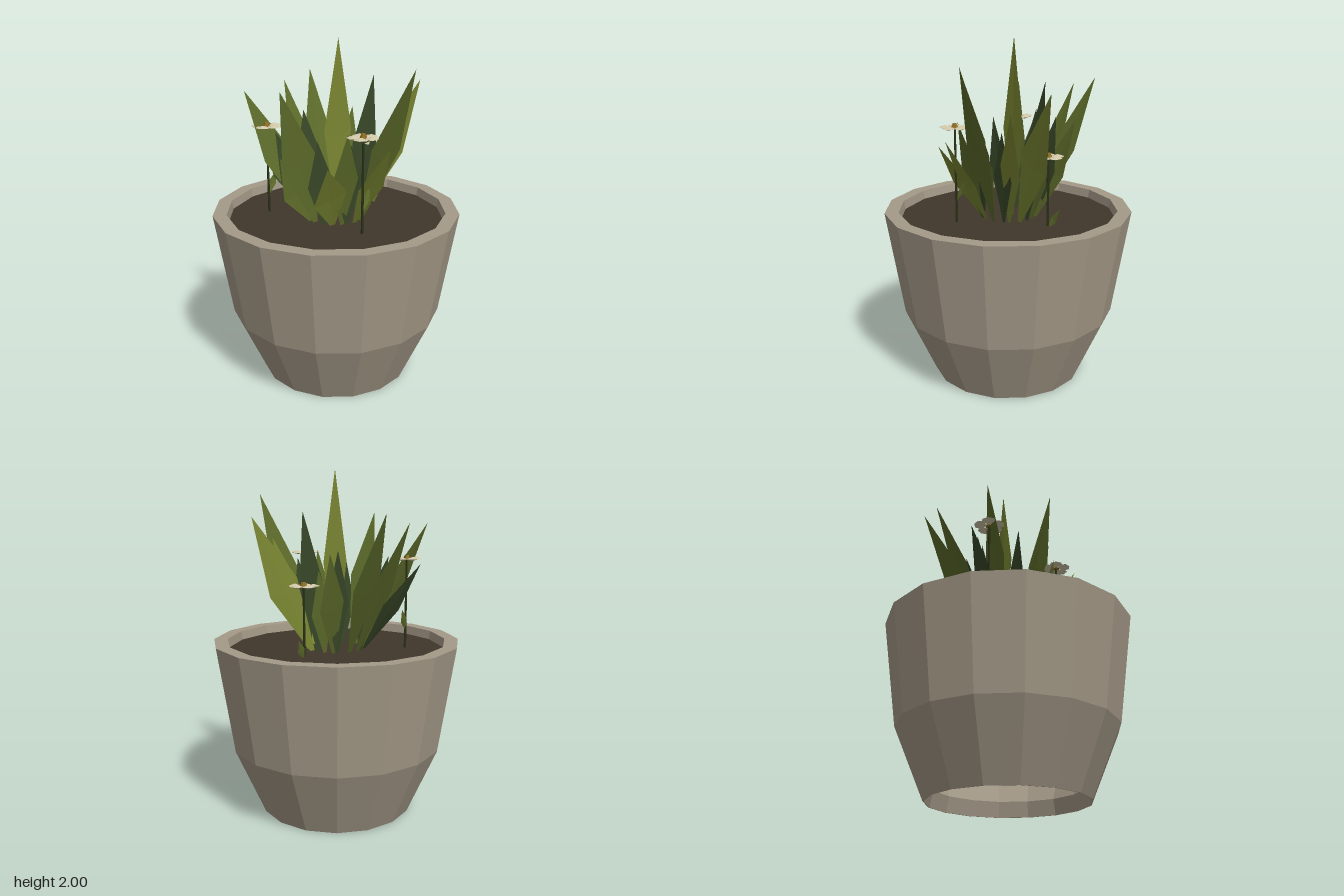
import * as THREE from 'three';

const mat = (color) => new THREE.MeshStandardMaterial({ color, flatShading: true, side: THREE.DoubleSide });
const vec = (x, y, z) => new THREE.Vector3(x, y, z);

// Flat-shaded surface from corner points joined by triangles
function surface(points, index) {
  const g = new THREE.BufferGeometry().setFromPoints(points);
  g.setIndex(index);
  const flat = g.toNonIndexed();
  flat.computeVertexNormals();
  return flat;
}

// Thin kite-shaped blade with a faint fold along the middle, wide in x, from base to tip
function bladeGeometry(base, tip, width) {
  const d = tip.clone().sub(base);
  const n = vec(0, -d.z, d.y).normalize();
  const w = d.clone().normalize().cross(n);
  const at = (t, side, out) =>
    base.clone().addScaledVector(d, t).addScaledVector(w, side * width).addScaledVector(n, out);
  const pts = [
    at(0, -0.06, 0), at(0, 0.06, 0),
    at(0.5, -0.5, 0), at(0.45, 0, -0.004), at(0.5, 0.5, 0),
    at(1, 0, 0),
  ];
  return surface(pts, [0, 3, 2, 0, 1, 3, 1, 4, 3, 2, 3, 5, 3, 4, 5]);
}

// Closed, blunt petal pointing along x, raised in its middle
function petalGeometry() {
  const half = [[0.01, 0], [0.048, 0.039], [0.076, 0.034], [0.09, 0]];
  const outline = [...half, ...half.slice(1, 3).reverse().map(([r, s]) => [r, -s])];
  const pts = [...outline.map(([r, s]) => vec(r, 0, s)), vec(0.055, 0.012, 0), vec(0.055, -0.01, 0)];
  const top = outline.length;
  return surface(pts, outline.flatMap((_, i) => {
    const next = (i + 1) % top;
    return [next, i, top, i, next, top + 1];
  }));
}

export function createModel() {
  const model = new THREE.Group();
  const add = (parent, name, geometry, material) => {
    const mesh = new THREE.Mesh(geometry, material);
    mesh.name = name;
    parent.add(mesh);
    return mesh;
  };

  // Pot: sixteen-sided hollow wall, open underneath, with a flat rim
  const profile = [
    [0.645, 0.94], [0.55, 0.4], [0.43, 0.09], [0.45, 0], [0.455, 0], [0.63, 0.4],
    [0.725, 1.02], [0.645, 1.02], [0.635, 0.95],
  ].map(([r, y]) => new THREE.Vector2(r, y));
  profile[0].x = 0.635;
  add(model, 'pot', new THREE.LatheGeometry(profile, 16), mat(0xa59a88));

  // Soil
  const soil = add(model, 'soil', new THREE.CircleGeometry(0.637, 16), mat(0x3f362b));
  soil.rotation.x = -Math.PI / 2;
  soil.position.y = 0.968;

  // Leaves by shade, each with tip x, y, z and width; bases form a small ring below the tips
  const shades = {
    light: [
      [0.03, 2.0, -0.02, 0.19], [0.53, 1.74, 0.11, 0.23], [0.31, 1.62, 0.2, 0.18],
      [-0.27, 1.37, 0.31, 0.21], [0.04, 1.46, 0.44, 0.18],
    ],
    mid: [
      [0.2, 1.865, 0.44, 0.21], [-0.4, 1.755, 0.06, 0.22], [0.16, 1.76, -0.515, 0.2],
      [-0.03, 1.71, -0.515, 0.17], [-0.39, 1.7, -0.36, 0.19], [0.3, 1.55, -0.25, 0.18],
      [-0.365, 1.37, -0.015, 0.19], [-0.11, 1.53, 0.27, 0.18], [0.23, 1.45, -0.09, 0.16],
    ],
    dark: [
      [-0.28, 1.47, -0.4, 0.18], [0.295, 1.77, -0.035, 0.18], [-0.06, 1.57, -0.25, 0.19],
      [0.19, 1.56, -0.2, 0.18], [-0.33, 1.5, -0.12, 0.17], [-0.2, 1.47, 0.11, 0.17],
      [-0.05, 1.45, 0.22, 0.17], [0.16, 1.5, 0.155, 0.17],
    ],
  };
  const greens = { light: mat(0x7a8632), mid: mat(0x5c6a2a), dark: mat(0x394828) };
  const leaves = new THREE.Group();
  leaves.name = 'leaves';
  model.add(leaves);
  for (const [shade, list] of Object.entries(shades)) {
    for (const [x, y, z, width] of list) {
      const reach = Math.hypot(x, z);
      const k = Math.min(0.16, 0.7 * reach) / reach;
      add(leaves, 'leaf', bladeGeometry(vec(x * k, 0.96, z * k), vec(x, y, z), width), greens[shade]);
    }
  }

  // Flowers: five petals, a heart, a stem and one small leaf
  const petal = petalGeometry();
  const petalMat = mat(0xd0c7a8), heartMat = mat(0x8f6d24), stemMat = mat(0x2a3016);
  const stemLeaf = bladeGeometry(vec(0, -0.42, 0), vec(0.07, -0.29, -0.03), 0.05);
  for (const [x, y, z] of [[-0.05, 1.515, 0.325], [-0.29, 1.495, -0.29], [0.31, 1.365, -0.055]]) {
    const flower = new THREE.Group();
    flower.name = 'flower';
    flower.position.set(x, y, z);
    model.add(flower);
    for (let i = 0; i < 5; i++) {
      add(flower, 'petal', petal, petalMat).rotation.y = -((69 + 72 * i) * Math.PI) / 180;
    }
    add(flower, 'flowerHeart', new THREE.CylinderGeometry(0.012, 0.022, 0.025, 6), heartMat).position.y = 0.01;
    const length = y - 0.96;
    add(flower, 'stem', new THREE.CylinderGeometry(0.006, 0.008, length, 5), stemMat).position.y = -length / 2;
    add(flower, 'stemLeaf', stemLeaf, greens.mid);
  }

  return model;
}
